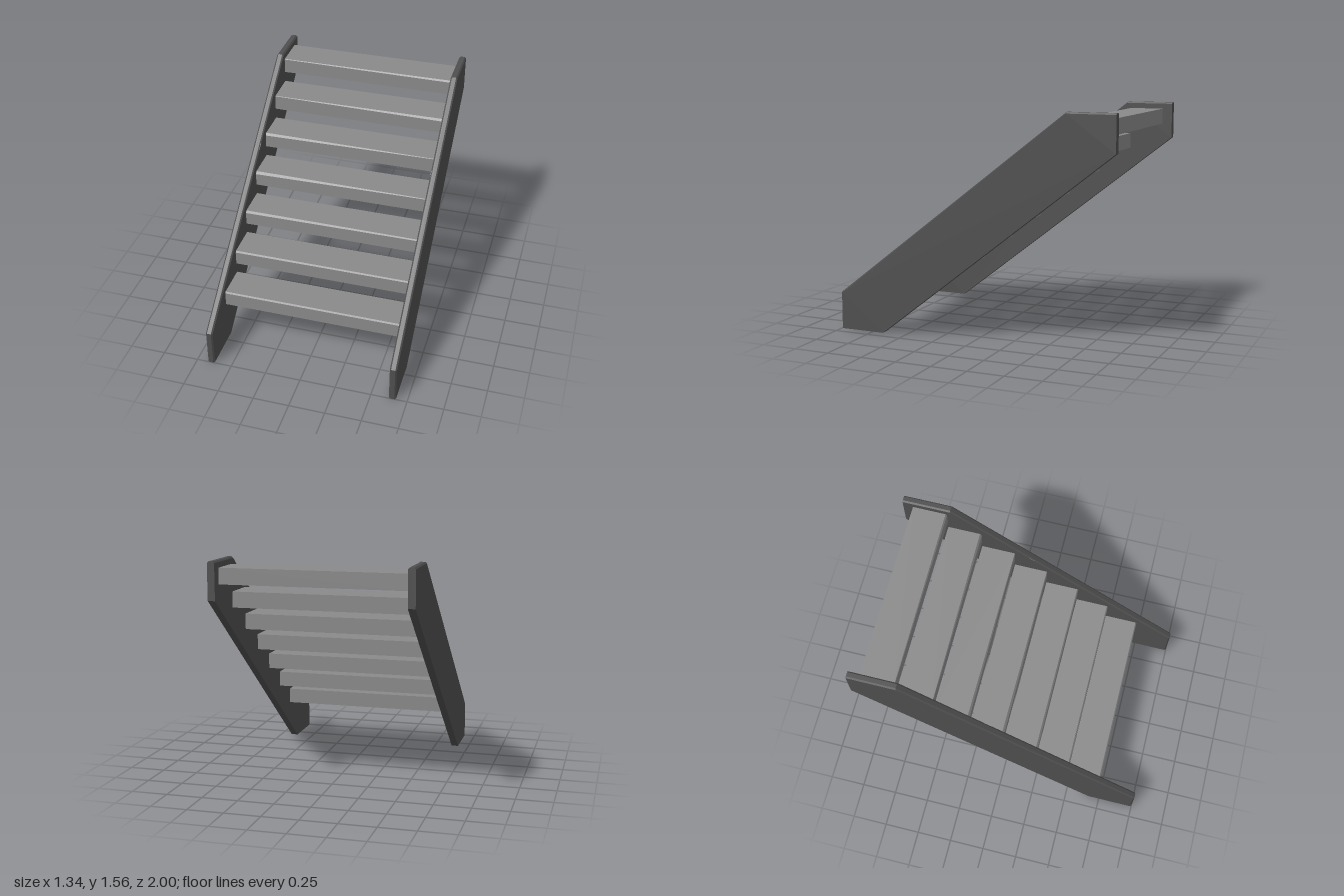
import * as THREE from 'three';
import { ConvexGeometry } from 'three/addons/geometries/ConvexGeometry.js';

const stringerGrey = new THREE.MeshStandardMaterial({ color: 0x4f4f4f });
stringerGrey.name = 'darkGrey';
const treadGrey = new THREE.MeshStandardMaterial({ color: 0x8a8a8a });
treadGrey.name = 'lightGrey';

const STEPS = 7, RISE = 0.1833, RUN = 0.236;
const INNER = 0.623, OUTER = 0.672, BEVEL = 0.01;

function addPart(parent, geometry, material, name) {
  const mesh = new THREE.Mesh(geometry, material);
  mesh.name = name;
  parent.add(mesh);
  return mesh;
}

// Side board: six-sided outline [z, y], bevelled along its front and upper edges
function stringerGeometry(side) {
  const full = [[1, 0], [0.67, 0], [-1, 1.31], [-1, 1.562], [-0.67, 1.562], [1, 0.26]];
  const inset = [[1 - BEVEL, 0], [0.67, 0], [-1, 1.31], [-1, 1.552], [-0.667, 1.552], [1 - BEVEL, 0.256]];
  const layers = [[INNER, inset], [INNER + BEVEL, full], [OUTER - BEVEL, full], [OUTER, inset]];
  const points = layers.flatMap(([x, outline]) =>
    outline.map(([z, y]) => new THREE.Vector3(side * x, y, z)));
  return new ConvexGeometry(points);
}

// Plank with a worn front upper edge; wear differs between its two ends
function treadGeometry(wearRight, wearLeft) {
  const depth = 0.238, height = 0.107;
  const points = [];
  for (const [x, wear] of [[-INNER - 0.004, wearRight], [INNER + 0.004, wearLeft]]) {
    for (const [z, y] of [[0, 0], [-depth, 0], [-depth, height], [-wear * 0.8, height], [0, height - wear]]) {
      points.push(new THREE.Vector3(x, y, z));
    }
  }
  return new ConvexGeometry(points);
}

export function createModel() {
  const stairs = new THREE.Group();
  stairs.name = 'openStairs';

  for (const [side, label] of [[1, 'left'], [-1, 'right']]) {
    addPart(stairs, stringerGeometry(side), stringerGrey, label + 'Stringer');

    // Small pale chip on the inner upper edge
    const chip = addPart(stairs, new THREE.BoxGeometry(0.009, 0.009, 0.05), treadGrey, label + 'EdgeChip');
    chip.position.set(side * (INNER + 0.005), 1.106, -0.1);
    chip.rotation.x = Math.atan2(1.302, 1.67);
  }

  // Edge wear at the right and left end of each tread, from the bottom up
  const wear = [[0.01, 0.01], [0.011, 0.009], [0.015, 0.008], [0.018, 0.004],
    [0.016, 0.003], [0.003, 0.015], [0.004, 0.012]];
  for (let i = 0; i < STEPS; i++) {
    const tread = addPart(stairs, treadGeometry(...wear[i]), treadGrey, 'tread' + (i + 1));
    tread.position.set(0, 0.309 + i * RISE, 0.724 - i * RUN);
  }
  return stairs;
}
